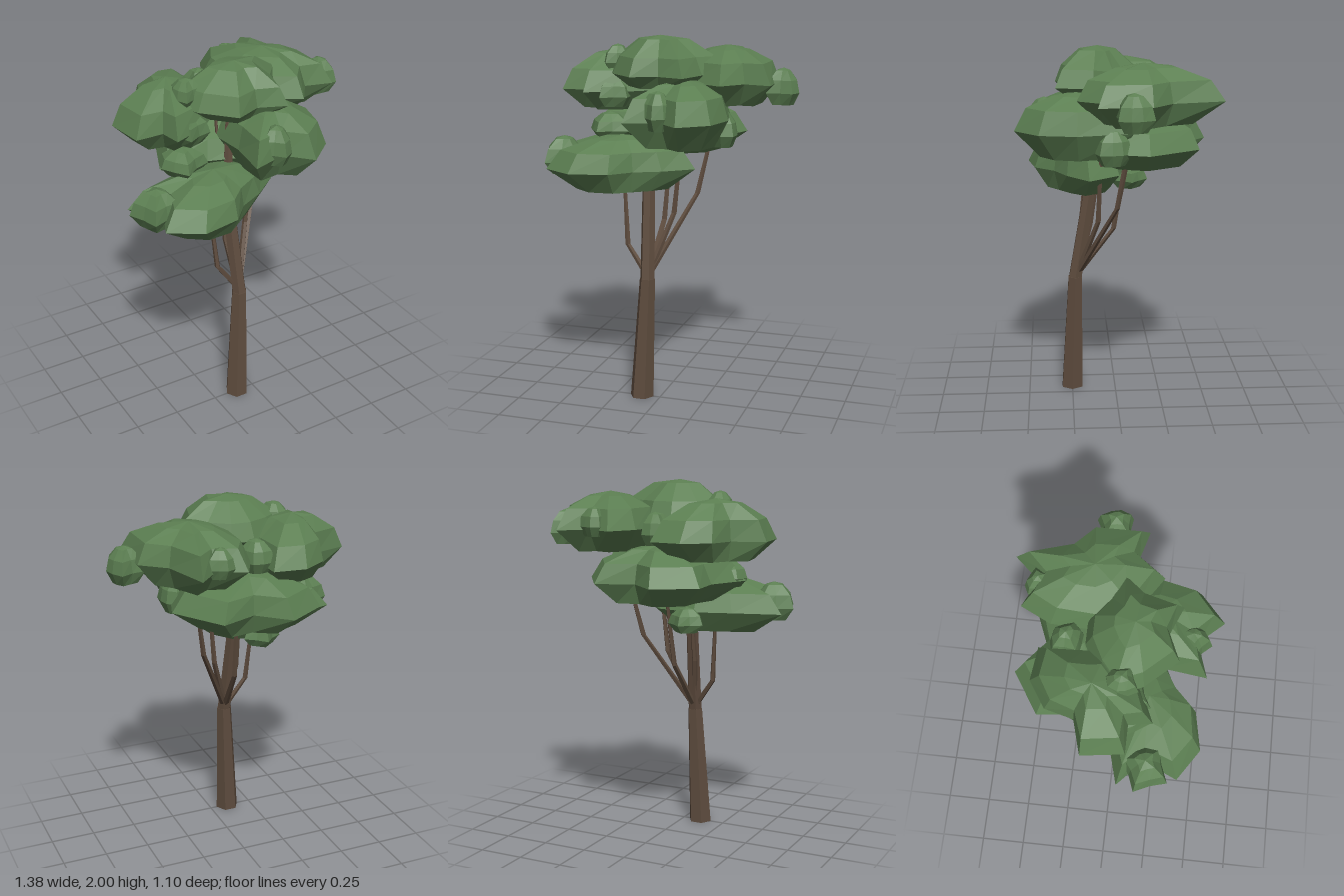
import * as THREE from 'three';

const bark = new THREE.MeshStandardMaterial({ color: 0x5e4c3e, flatShading: true });
const leaf = new THREE.MeshStandardMaterial({ color: 0x5c7f52, flatShading: true });

// Skin a stack of rings (bottom to top, each running from +x towards +z)
function loft(rings, material, name) {
  const pos = [];
  const tri = (a, b, c) => {
    if (a.distanceTo(b) < 1e-6 || b.distanceTo(c) < 1e-6 || a.distanceTo(c) < 1e-6) return;
    for (const p of [a, b, c]) pos.push(p.x, p.y, p.z);
  };
  for (let k = 0; k < rings.length - 1; k++) {
    const low = rings[k], up = rings[k + 1], n = low.length;
    for (let i = 0; i < n; i++) {
      const j = (i + 1) % n;
      tri(low[i], up[i], low[j]);
      tri(low[j], up[i], up[j]);
    }
  }
  const geo = new THREE.BufferGeometry();
  geo.setAttribute('position', new THREE.Float32BufferAttribute(pos, 3));
  geo.computeVertexNormals();
  const mesh = new THREE.Mesh(geo, material);
  mesh.name = name;
  return mesh;
}

// Tapered limb through [x, y, z, radius] stations, closed at both ends
function limb(stations, sides, name) {
  const first = stations[0], last = stations[stations.length - 1];
  const all = [[...first.slice(0, 3), 0], ...stations, [...last.slice(0, 3), 0]];
  const rings = all.map(([x, y, z, r]) => Array.from({ length: sides }, (_, i) => {
    const a = (i / sides) * Math.PI * 2;
    return new THREE.Vector3(x + r * Math.cos(a), y, z + r * Math.sin(a));
  }));
  return loft(rings, bark, name);
}

// Leaf cushion: a star outline that is widest at the rim height and
// grows rounder towards its top and underside
function clump(name, [cx, cz], y0, y1, outline, rim = 0.34) {
  const radii = outline.map(([x, z]) => Math.hypot(x - cx, z - cz));
  const mean = radii.reduce((a, b) => a + b) / radii.length;
  // scale, height fraction, roundness
  const profile = [[0, 0, 0], [0.66, 0.02, 0.3], [1, rim, 0],
    [0.84, rim + 0.34, 0.1], [0.42, 0.93, 0], [0, 1, 0]];
  const rings = profile.map(([s, h, round]) => outline.map(([x, z], i) => {
    const k = s * (1 - round + (round * mean) / radii[i]);
    return new THREE.Vector3(cx + (x - cx) * k, y0 + (y1 - y0) * h, cz + (z - cz) * k);
  }));
  return loft(rings, leaf, name);
}

// Small tuft with an uneven star outline
function tuft(x, y, z, r, h) {
  const outline = Array.from({ length: 9 }, (_, i) => {
    const a = (i / 9) * Math.PI * 2 + x * 5;
    const q = r * (0.9 + 0.2 * Math.sin(i * 2.6 + z * 9));
    return [x + q * Math.cos(a), z + q * Math.sin(a)];
  });
  return clump('leafTuft', [x, z], y - h / 2, y + h / 2, outline);
}

export function createModel() {
  const tree = new THREE.Group();
  tree.name = 'tree';

  // Trunk and its thinner continuation into the crown
  tree.add(limb([[-0.105, 0, 0.25, 0.067], [-0.078, 0.68, 0.228, 0.044]], 6, 'trunk'));
  tree.add(limb([[-0.078, 0.675, 0.228, 0.041], [-0.097, 1.2, 0.14, 0.036],
    [-0.07, 1.85, 0.1, 0.012]], 6, 'upperTrunk'));

  // Branches: bend and tip
  const branches = [
    [[-0.2, 0.86, 0.2], [-0.235, 1.3, 0.16]],
    [[0.14, 1.13, 0.0], [0.23, 1.6, -0.09]],
    [[0.035, 1.03, 0.1], [0.08, 1.5, 0.08]],
    [[-0.05, 0.97, 0.01], [-0.03, 1.45, -0.07]],
    [[-0.115, 0.98, 0.14], [-0.11, 1.7, 0.03]],
  ];
  for (const [bend, tip] of branches) {
    tree.add(limb([[-0.078, 0.69, 0.22, 0.02], [...bend, 0.015], [...tip, 0.008]], 5, 'branch'));
  }

  // Large leaf clumps, lowest to highest
  tree.add(clump('lowerClump', [-0.22, 0.2], 1.17, 1.47, [
    [0.17, 0.15], [0.02, 0.27], [-0.12, 0.34], [-0.22, 0.45], [-0.43, 0.49], [-0.6, 0.38],
    [-0.52, 0.2], [-0.66, 0.07], [-0.4, 0], [-0.2, -0.06], [0.03, -0.02]], 0.4));
  tree.add(clump('backClump', [-0.04, -0.16], 1.35, 1.66, [
    [0.38, -0.16], [0.3, 0.08], [0.1, 0.2], [-0.2, 0.1], [-0.46, 0.06], [-0.36, -0.18],
    [-0.38, -0.37], [-0.16, -0.51], [0, -0.36], [0.2, -0.44]], 0.37));
  tree.add(clump('frontClump', [0.12, 0.19], 1.42, 1.78, [
    [0.37, 0.22], [0.33, 0.42], [0.18, 0.55], [0.06, 0.42], [-0.13, 0.48], [-0.1, 0.25],
    [-0.12, 0.05], [0.05, -0.1], [0.3, -0.08]], 0.42));
  tree.add(clump('rightClump', [-0.34, -0.08], 1.58, 1.91, [
    [-0.08, 0], [-0.25, 0.15], [-0.44, 0.23], [-0.46, 0.11], [-0.61, 0.11], [-0.64, -0.11],
    [-0.46, -0.16], [-0.42, -0.31], [-0.28, -0.4], [-0.1, -0.38], [-0.1, -0.15]]));
  tree.add(clump('leftClump', [0.27, -0.13], 1.62, 1.94, [
    [0.57, 0.12], [0.42, 0.08], [0.32, 0.22], [0.1, 0.08], [0, -0.1], [0.01, -0.33],
    [0.09, -0.49], [0.24, -0.42], [0.36, -0.55], [0.43, -0.27], [0.56, -0.16]], 0.4));
  tree.add(clump('topClump', [-0.04, 0.1], 1.72, 2.0, [
    [0.31, 0.01], [0.2, 0.13], [0.15, 0.33], [0, 0.27], [-0.14, 0.33], [-0.29, 0.17],
    [-0.36, 0.02], [-0.24, -0.07], [-0.1, -0.14], [0.03, -0.14], [0.15, -0.05]], 0.26));

  // Small tufts: x, y, z, radius, height
  const tufts = [
    [-0.56, 1.345, 0.21, 0.13, 0.21], [0.04, 1.63, 0.39, 0.1, 0.21],
    [-0.31, 1.69, 0.1, 0.11, 0.17], [-0.3, 1.87, 0.06, 0.09, 0.15],
    [-0.06, 1.75, -0.24, 0.1, 0.18], [0.6, 1.73, -0.06, 0.105, 0.2],
    [0.21, 1.79, -0.41, 0.08, 0.16], [0.29, 1.5, 0.03, 0.1, 0.2],
    [-0.34, 1.5, 0.08, 0.13, 0.15], [-0.17, 1.25, -0.08, 0.1, 0.14],
  ];
  for (const t of tufts) tree.add(tuft(...t));

  return tree;
}
